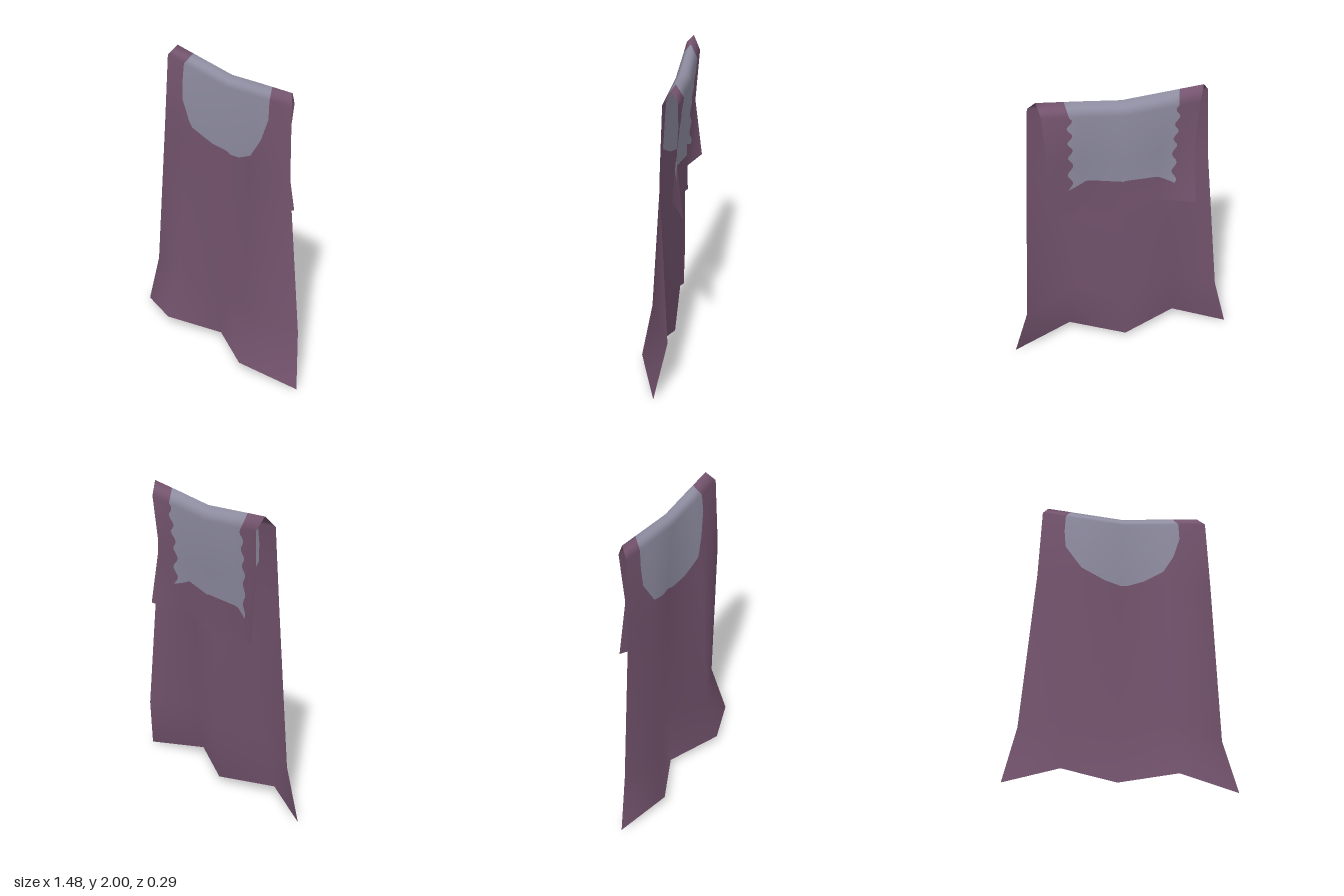
import * as THREE from 'three';

// Cloth cross-sections from the front hem, over the fold, to the back hem: five [x, y, z] points each
const SECTIONS = [
  [[-0.74, 0, 0.01], [-0.39, 0.065, 0.135], [-0.02, 0.045, -0.025], [0.34, 0.065, 0.145], [0.74, 0, 0.01]],
  [[-0.65, 0.37, -0.01], [-0.36, 0.43, 0.07], [-0.01, 0.4, -0.06], [0.31, 0.43, 0.078], [0.66, 0.37, -0.07]],
  [[-0.555, 1.45, -0.015], [-0.3, 1.43, 0.015], [0, 1.42, -0.055], [0.3, 1.43, 0.02], [0.605, 1.45, -0.015]],
  [[-0.53, 1.935, -0.03], [-0.27, 1.91, -0.03], [0.015, 1.885, -0.03], [0.29, 1.91, -0.03], [0.585, 1.935, -0.03]],
  [[-0.49, 2, -0.08], [-0.24, 1.977, -0.08], [0.02, 1.953, -0.08], [0.27, 1.977, -0.08], [0.54, 2, -0.08]],
  [[-0.46, 1.91, -0.125], [-0.24, 1.89, -0.125], [0.01, 1.87, -0.13], [0.25, 1.89, -0.125], [0.515, 1.91, -0.125]],
  [[-0.44, 1.57, -0.1], [-0.235, 1.55, -0.075], [0.01, 1.53, -0.1], [0.25, 1.55, -0.075], [0.49, 1.57, -0.1]],
  [[-0.45, 1.177, -0.146], [-0.23, 1.155, -0.04], [0.01, 1.135, -0.11], [0.25, 1.155, -0.04], [0.52, 1.177, -0.146]],
];

// Outline of the pale patch as [column, row] on the sections
const FRONT_EDGE = [[0.6, 2.75], [0.66, 2.5], [1.1, 2.19], [1.65, 2.06], [2.15, 2.01], [2.5, 2.06], [2.95, 2.2], [3.2, 2.45], [3.37, 2.75]];
const BACK_EDGE = [[0.6, 6.65], [1.1, 6.5], [1.9, 6.4], [2.9, 6.4], [3.37, 6.55]];
const PATCH_LEFT = 0.6, PATCH_RIGHT = 3.37;

function edgeAt(edge, s) {
  if (s <= edge[0][0]) return edge[0][1];
  for (let i = 1; i < edge.length; i++) {
    const [a, b] = [edge[i - 1], edge[i]];
    if (s <= b[0]) return a[1] + (b[1] - a[1]) * (s - a[0]) / (b[0] - a[0]);
  }
  return edge[edge.length - 1][1];
}

// Coarse sheet, used for its smooth normals
function sectionNormals() {
  const g = new THREE.BufferGeometry(), index = [];
  for (let r = 0; r < 7; r++) for (let c = 0; c < 4; c++) {
    const a = r * 5 + c;
    index.push(a, a + 1, a + 6, a, a + 6, a + 5);
  }
  g.setAttribute('position', new THREE.Float32BufferAttribute(SECTIONS.flat(2), 3));
  g.setIndex(index);
  g.computeVertexNormals();
  const n = g.attributes.normal;
  return SECTIONS.map((row, r) => row.map((_, c) => [n.getX(r * 5 + c), n.getY(r * 5 + c), n.getZ(r * 5 + c)]));
}

function sample(grid, s, t) {
  const c = Math.min(3, Math.floor(s)), r = Math.min(6, Math.floor(t));
  const u = s - c, v = t - r;
  return [0, 1, 2].map(k =>
    (grid[r][c][k] * (1 - u) + grid[r][c + 1][k] * u) * (1 - v) +
    (grid[r + 1][c][k] * (1 - u) + grid[r + 1][c + 1][k] * u) * v);
}

// Scalloped sides of the patch on the back flap
function scallop(s, t) {
  if (t < 5 || t > 6.7) return s;
  const near = e => Math.max(0, 1 - Math.abs(s - e) / 0.35);
  const wave = 0.07 * Math.sin((t - 5) * Math.PI * 6);
  return s + wave * (near(PATCH_LEFT) - near(PATCH_RIGHT));
}

// Piece of the sheet: columns is a list of s, rowsAt(s) gives its row positions
function clothPiece(name, normals, columns, rowsAt, material) {
  const pos = [], nor = [], index = [];
  const count = rowsAt(columns[0]).length;
  for (const s of columns) for (const t of rowsAt(s)) {
    const w = scallop(s, t);
    pos.push(...sample(SECTIONS, w, t));
    nor.push(...new THREE.Vector3(...sample(normals, w, t)).normalize().toArray());
  }
  for (let i = 0; i < columns.length - 1; i++) for (let j = 0; j < count - 1; j++) {
    const a = i * count + j, b = a + count;
    index.push(a, b, b + 1, a, b + 1, a + 1);
  }
  const g = new THREE.BufferGeometry();
  g.setAttribute('position', new THREE.Float32BufferAttribute(pos, 3));
  g.setAttribute('normal', new THREE.Float32BufferAttribute(nor, 3));
  g.setIndex(index);
  const mesh = new THREE.Mesh(g, material);
  mesh.name = name;
  return mesh;
}

// Fill the gaps between stops with even steps
function subdivide(stops, steps) {
  const out = [stops[0]];
  for (let i = 1; i < stops.length; i++)
    for (let k = 1; k <= steps; k++)
      out.push(k === steps ? stops[i] : stops[i - 1] + (stops[i] - stops[i - 1]) * k / steps);
  return out;
}

export function createModel() {
  const purple = new THREE.MeshStandardMaterial({ color: 0x74546e, side: THREE.DoubleSide });
  purple.name = 'plum cloth';
  const grey = new THREE.MeshStandardMaterial({ color: 0x8e8ca0, side: THREE.DoubleSide });
  grey.name = 'pale grey cloth';

  const group = new THREE.Group();
  group.name = 'foldedCloth';
  const normals = sectionNormals();

  const knots = [...FRONT_EDGE, ...BACK_EDGE].map(p => p[0]);
  const middle = subdivide([...new Set([...knots, 1, 2, 3])].sort((a, b) => a - b), 2);
  const front = s => edgeAt(FRONT_EDGE, s), back = s => edgeAt(BACK_EDGE, s);
  const rows = list => subdivide(list, 16);
  const full = s => rows([0, 1, 2, front(s), 3, 4, 5, 6, back(s), 7]);

  group.add(
    clothPiece('rightSide', normals, subdivide([0, PATCH_LEFT], 6), full, purple),
    clothPiece('leftSide', normals, subdivide([PATCH_RIGHT, 4], 6), full, purple),
    clothPiece('frontPanel', normals, middle, s => rows([0, 1, 2, front(s)]), purple),
    clothPiece('palePatch', normals, middle, s => rows([front(s), 3, 4, 5, 6, back(s)]), grey),
    clothPiece('backFlapHem', normals, middle, s => rows([back(s), 7]), purple),
  );
  return group;
}
